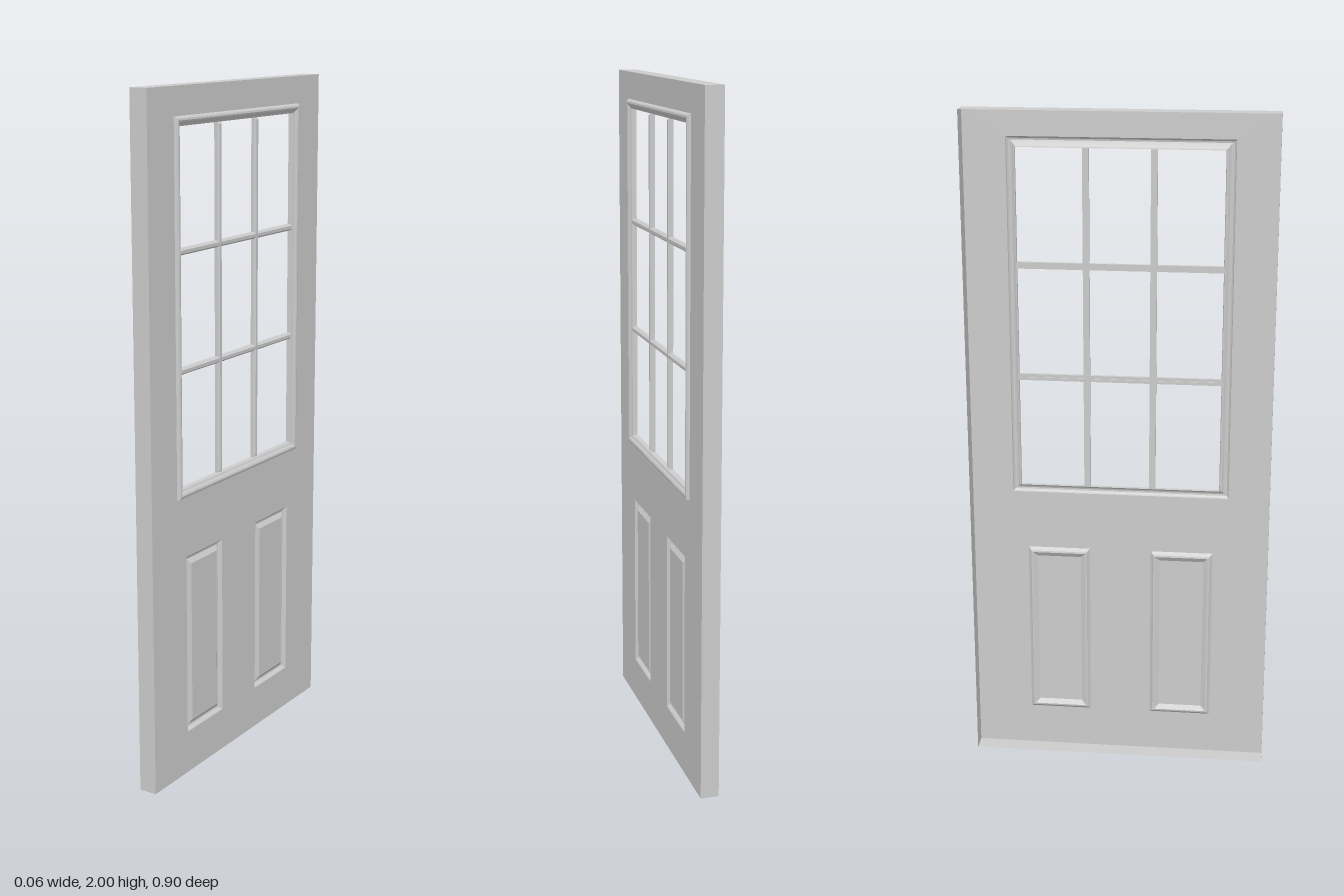
import * as THREE from 'three';

const material = new THREE.MeshStandardMaterial({
  color: 0xcccccc, flatShading: true, side: THREE.DoubleSide,
});

const BACK = -0.033, FACE = 0.021;

// Rectangles are { x, y, w, h } with x, y at the centre.
function corners({ x, y, w, h }, inset = 0) {
  const a = w / 2 - inset, b = h / 2 - inset;
  return [[x - a, y - b], [x + a, y - b], [x + a, y + b], [x - a, y + b]];
}

// Sweeps a profile of [inset, depth] points around a rectangle with mitred corners.
function rectSweep(rect, profile, cap = false) {
  const pos = [];
  const loops = profile.map(([inset, z]) => corners(rect, inset).map(([x, y]) => [x, y, z]));
  const quad = (a, b, c, d) => pos.push(...a, ...b, ...c, ...a, ...c, ...d);
  for (let i = 0; i < loops.length - 1; i++) {
    for (let k = 0; k < 4; k++) {
      const n = (k + 1) % 4;
      quad(loops[i][k], loops[i][n], loops[i + 1][n], loops[i + 1][k]);
    }
  }
  if (cap) quad(...loops[loops.length - 1]);
  const geometry = new THREE.BufferGeometry();
  geometry.setAttribute('position', new THREE.Float32BufferAttribute(pos, 3));
  geometry.computeVertexNormals();
  return geometry;
}

const toPoints = (rect) => corners(rect).map(([x, y]) => new THREE.Vector2(x, y));

export function createModel() {
  const model = new THREE.Group();
  model.name = 'door';
  const leaf = new THREE.Group();
  leaf.name = 'doorLeaf';
  leaf.rotation.y = Math.PI / 2; // moulded face looks along +x
  model.add(leaf);

  const add = (name, geometry) => {
    const mesh = new THREE.Mesh(geometry, material);
    mesh.name = name;
    leaf.add(mesh);
  };

  const slab = { x: 0, y: 1, w: 0.896, h: 2 };
  const surround = { x: 0, y: 1.387, w: 0.65, h: 1.066 };
  const panels = [-1, 1].map((s) => ({ x: s * 0.187, y: 0.402, w: 0.188, h: 0.545 }));

  // Face sheet pierced for the window and the two panels
  const face = new THREE.Shape(toPoints(slab));
  for (const rect of [surround, ...panels]) face.holes.push(new THREE.Path(toPoints(rect)));
  add('doorFace', new THREE.ShapeGeometry(face).translate(0, 0, FACE));

  // Edge walls; the back of the leaf is open
  add('doorEdges', rectSweep(slab, [[0, BACK], [0, FACE]]));

  // Rounded moulding around the window, turning in to a short reveal
  add('windowSurround', rectSweep(surround, [
    [0, FACE], [0.002, 0.026], [0.006, 0.03], [0.011, 0.031], [0.016, 0.029],
    [0.021, 0.024], [0.027, 0.021], [0.028, 0.006],
  ]));

  // Glazing bars, three by three panes
  const barProfile = [[0.009, 0.006], [0, 0.006], [0, 0.015], [0.005, 0.021]];
  for (const s of [-1, 1]) {
    add('verticalGlazingBar', rectSweep({ x: s * 0.097, y: surround.y, w: 0.019, h: 1.01 }, barProfile, true));
    add('horizontalGlazingBar', rectSweep({ x: 0, y: surround.y + s * 0.167, w: 0.6, h: 0.019 }, barProfile, true));
  }

  // Raised panels set in a groove
  for (const rect of panels) {
    add('raisedPanel', rectSweep(rect, [
      [0, FACE], [0.005, 0.016], [0.009, 0.011], [0.014, 0.01], [0.028, 0.019],
    ], true));
  }
  return model;
}
